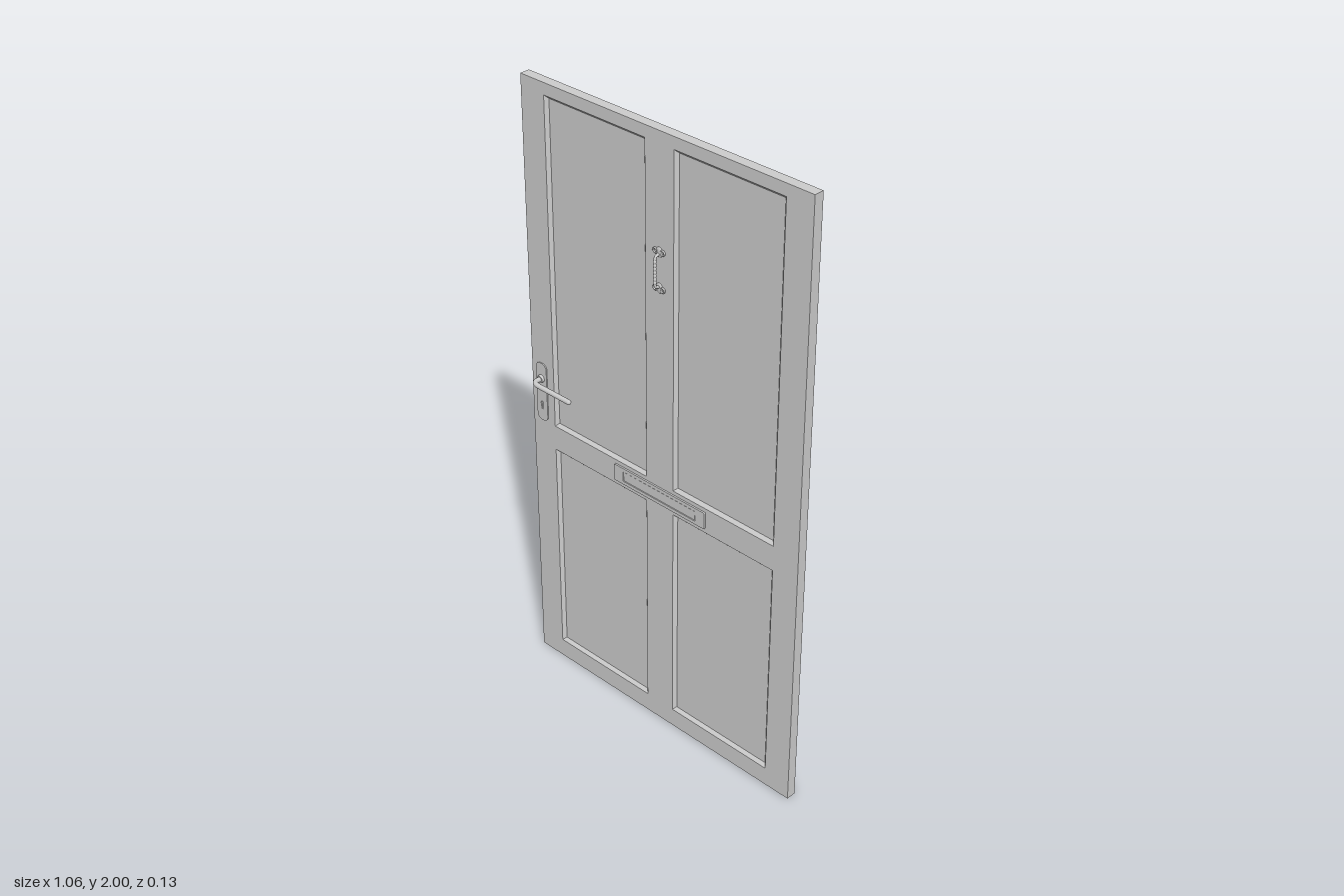
import * as THREE from 'three';

const material = new THREE.MeshStandardMaterial({ color: 0xcccccc });
const W = 0.528, H = 2, T = 0.016;          // half width, height, half thickness
const XI = 0.053, XO = 0.437;               // inner and outer x of the panel openings
const BEVEL = 0.01, PANEL = 0.006;          // moulding width, half thickness of panels
const ROWS = [[0.063, 0.804], [0.888, 1.963]];

function add(parent, name, geometry, x = 0, y = 0, z = 0) {
  const mesh = new THREE.Mesh(geometry, material);
  mesh.name = name;
  mesh.position.set(x, y, z);
  parent.add(mesh);
  return mesh;
}

// Flat board cut to a polygon, through the full door thickness
function board(parent, name, points) {
  const shape = new THREE.Shape(points.map(([x, y]) => new THREE.Vector2(x, y)));
  add(parent, name, new THREE.ExtrudeGeometry(shape, { depth: 2 * T, bevelEnabled: false }), 0, 0, -T);
}

const rect = (x0, y0, x1, y1) => [[x0, y0], [x1, y0], [x1, y1], [x0, y1]];

function roundedRect(target, w, h, r) {
  target.moveTo(-w / 2 + r, -h / 2);
  target.absarc(w / 2 - r, -h / 2 + r, r, -Math.PI / 2, 0);
  target.absarc(w / 2 - r, h / 2 - r, r, 0, Math.PI / 2);
  target.absarc(-w / 2 + r, h / 2 - r, r, Math.PI / 2, Math.PI);
  target.absarc(-w / 2 + r, -h / 2 + r, r, Math.PI, Math.PI * 1.5);
  return target;
}

// Sloping ring between the frame face and the recessed panel
function mouldingGeometry(x0, y0, x1, y1, side) {
  const outer = rect(x0, y0, x1, y1);
  const inner = rect(x0 + BEVEL, y0 + BEVEL, x1 - BEVEL, y1 - BEVEL);
  const positions = [];
  for (let i = 0; i < 4; i++) {
    const j = (i + 1) % 4;
    const a = [...outer[i], side * T], b = [...outer[j], side * T];
    const c = [...inner[j], side * PANEL], d = [...inner[i], side * PANEL];
    const order = side > 0 ? [a, b, c, a, c, d] : [a, c, b, a, d, c];
    positions.push(...order.flat());
  }
  const g = new THREE.BufferGeometry();
  g.setAttribute('position', new THREE.Float32BufferAttribute(positions, 3));
  g.computeVertexNormals();
  return g;
}

// Lever handle on a long rounded backplate with a keyhole
function leverHandle() {
  const g = new THREE.Group();
  g.name = 'leverHandle';
  const plate = roundedRect(new THREE.Shape(), 0.044, 0.2, 0.018);
  const keyhole = new THREE.Path();
  keyhole.absarc(0, -0.04, 0.006, -Math.PI * 0.3, Math.PI * 1.3);
  keyhole.lineTo(-0.003, -0.06);
  keyhole.lineTo(0.003, -0.06);
  plate.holes.push(keyhole);
  add(g, 'backplate', new THREE.ExtrudeGeometry(plate, { depth: 0.004, bevelEnabled: false }), -0.487, 0.99, T - 0.0005);

  const collar = add(g, 'collar', new THREE.CylinderGeometry(0.011, 0.013, 0.008, 24), -0.487, 1.037, 0.023);
  collar.rotation.x = Math.PI / 2;

  const path = new THREE.CurvePath();
  const v = (x, z) => new THREE.Vector3(x, 1.037, z);
  path.add(new THREE.LineCurve3(v(-0.487, 0.01), v(-0.487, 0.033)));
  path.add(new THREE.QuadraticBezierCurve3(v(-0.487, 0.033), v(-0.487, 0.055), v(-0.462, 0.055)));
  path.add(new THREE.LineCurve3(v(-0.462, 0.055), v(-0.333, 0.055)));
  add(g, 'lever', new THREE.TubeGeometry(path, 64, 0.008, 14));
  add(g, 'leverTip', new THREE.SphereGeometry(0.008, 14, 10), -0.333, 1.037, 0.055);
  return g;
}

// Letter plate: a rim around a recessed flap
function letterPlate() {
  const g = new THREE.Group();
  g.name = 'letterPlate';
  const rim = roundedRect(new THREE.Shape(), 0.362, 0.056, 0.003);
  rim.holes.push(roundedRect(new THREE.Path(), 0.29, 0.034, 0.002));
  add(g, 'rim', new THREE.ExtrudeGeometry(rim, { depth: 0.006, bevelEnabled: false }), 0, 0.847, T - 0.0005);
  add(g, 'flap', new THREE.BoxGeometry(0.286, 0.03, 0.004), 0, 0.847, T + 0.002);
  return g;
}

// Pull with a beaded grip, curved arms and small domed rosettes
function pull() {
  const g = new THREE.Group();
  g.name = 'pull';
  const y0 = 1.54, y1 = 1.638, z = 0.034;
  const profile = [];
  for (let i = 0; i <= 56; i++) {
    const t = i / 56;
    profile.push(new THREE.Vector2(0.0036 + 0.0016 * Math.abs(Math.sin(t * Math.PI * 7)), t * (y1 - y0 - 0.024)));
  }
  add(g, 'grip', new THREE.LatheGeometry(profile, 14), 0, y0 + 0.012, z);
  for (const [y, s] of [[y0, 1], [y1, -1]]) {
    const arm = new THREE.CatmullRomCurve3([
      new THREE.Vector3(0, y - s * 0.004, T - 0.002),
      new THREE.Vector3(0, y, 0.024),
      new THREE.Vector3(0, y + s * 0.003, 0.031),
      new THREE.Vector3(0, y + s * 0.014, z),
    ]);
    add(g, 'arm', new THREE.TubeGeometry(arm, 20, 0.004, 10));
    const rosette = add(g, 'rosette', new THREE.SphereGeometry(0.016, 20, 10), 0, y - s * 0.006, T);
    rosette.scale.set(0.8, 1, 0.3);
    for (const side of [-1, 1]) {
      const scroll = add(g, 'scroll', new THREE.TorusGeometry(0.007, 0.0025, 8, 16), side * 0.014, y - s * 0.008, T + 0.002);
      scroll.scale.z = 1.2;
    }
  }
  return g;
}

export function createModel() {
  const model = new THREE.Group();
  model.name = 'door';

  // Mitred outer frame
  const [bottom, top] = [ROWS[0][0], ROWS[1][1]];
  board(model, 'leftStile', [[W, 0], [W, H], [XO, top], [XO, bottom]]);
  board(model, 'rightStile', [[-W, 0], [-XO, bottom], [-XO, top], [-W, H]]);
  board(model, 'topRail', [[-W, H], [-XO, top], [XO, top], [W, H]]);
  board(model, 'bottomRail', [[-W, 0], [W, 0], [XO, bottom], [-XO, bottom]]);
  board(model, 'middleRail', rect(-XO, ROWS[0][1], XO, ROWS[1][0]));

  // Centre stiles, panels and mouldings
  for (const [y0, y1] of ROWS) {
    board(model, 'centreStile', rect(-XI, y0, XI, y1));
    for (const s of [-1, 1]) {
      const x0 = s > 0 ? XI : -XO, x1 = s > 0 ? XO : -XI;
      add(model, 'panel', new THREE.BoxGeometry(x1 - x0, y1 - y0, 2 * PANEL), (x0 + x1) / 2, (y0 + y1) / 2);
      for (const side of [-1, 1]) add(model, 'moulding', mouldingGeometry(x0, y0, x1, y1, side));
    }
  }

  // Fittings on both faces; the back set is turned round, the lever mirrored by its path
  for (const side of [1, -1]) {
    const fittings = new THREE.Group();
    fittings.name = side > 0 ? 'frontFittings' : 'backFittings';
    fittings.add(leverHandle(), letterPlate(), pull());
    fittings.scale.z = side;
    model.add(fittings);
  }
  return model;
}
